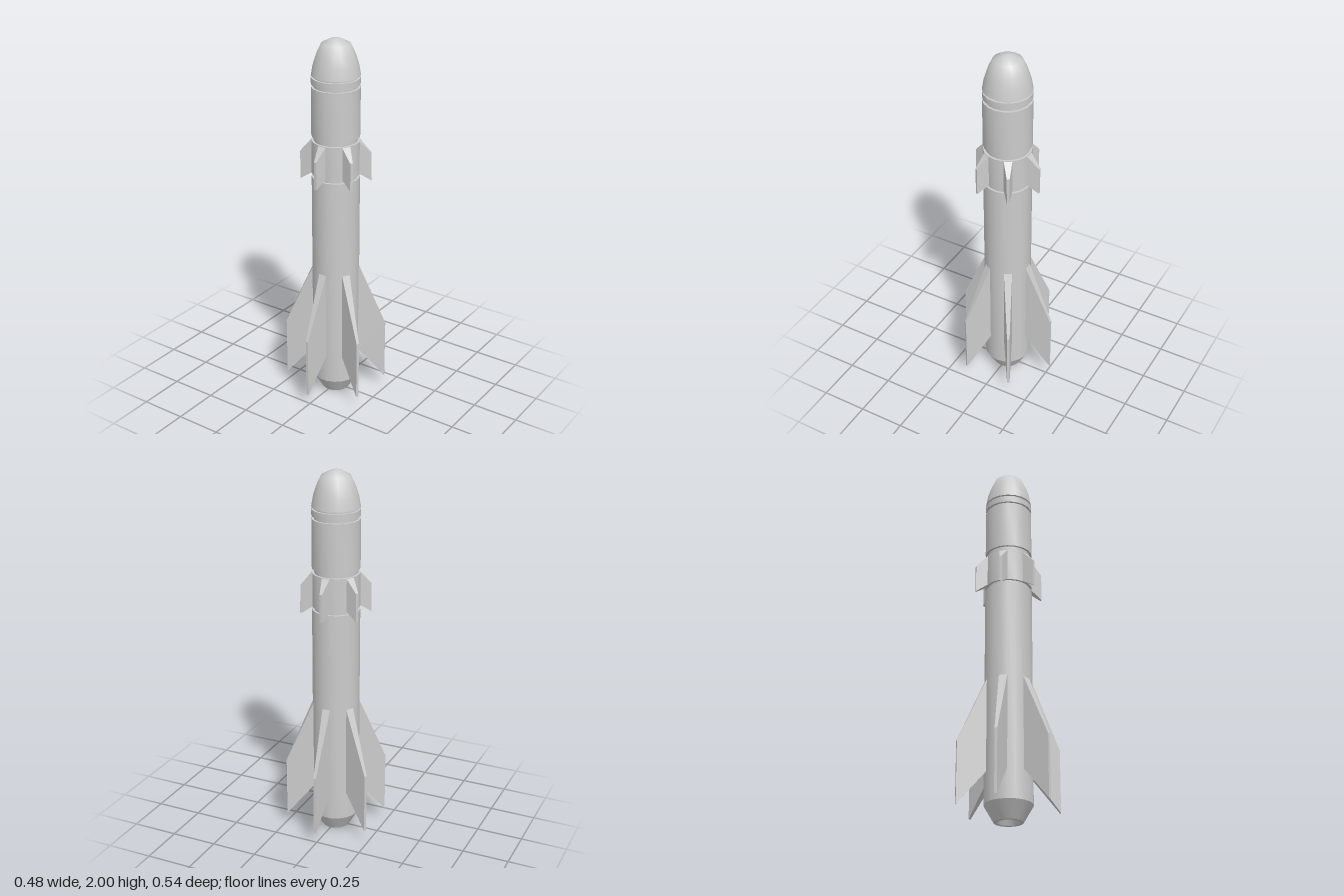
import * as THREE from 'three';
import { toCreasedNormals } from 'three/addons/utils/BufferGeometryUtils.js';

const SIDES = 18;
const R = 0.126; // hull radius
const GROOVE = 0.114; // radius at the bottom of the grooves
const FLAT = R * Math.cos(Math.PI / SIDES); // distance to the middle of a hull facet
const grey = new THREE.MeshStandardMaterial({ color: 0xcccccc });

// Turned part from [radius, height] points, listed bottom to top
function turned(name, profile, crease = 0.45) {
  const points = profile.map(([r, y]) => new THREE.Vector2(r, y));
  const lathe = new THREE.LatheGeometry(points, SIDES, Math.PI / 2);
  const mesh = new THREE.Mesh(crease ? toCreasedNormals(lathe, crease) : lathe, grey);
  mesh.name = name;
  return mesh;
}

// Straight hull section with flat end shelves reaching into the grooves
const section = (name, y0, y1) => turned(name, [[GROOVE, y0], [R, y0], [R, y1], [GROOVE, y1]]);

// Tapered fin: a box with its corners moved to the fin outline
function finGeometry({ rootTop, rootBottom, tipTop, tipBottom, tipRadius }) {
  const geo = new THREE.BoxGeometry(1, 1, 1);
  const p = geo.attributes.position;
  for (let i = 0; i < p.count; i++) {
    const tip = p.getX(i) > 0, top = p.getY(i) > 0;
    const y = tip ? (top ? tipTop : tipBottom) : (top ? rootTop : rootBottom);
    const halfWidth = tip ? 0.007 : R * Math.sin(Math.PI / SIDES);
    p.setXYZ(i, tip ? tipRadius : FLAT, y, Math.sign(p.getZ(i)) * halfWidth);
  }
  geo.computeVertexNormals();
  return geo;
}

// Six fins around the hull, each on its own facet
function finRing(name, outline) {
  const ring = new THREE.Group();
  ring.name = name + 's';
  const geo = finGeometry(outline);
  for (let i = 0; i < 6; i++) {
    const fin = new THREE.Mesh(geo, grey);
    fin.name = name;
    fin.rotation.y = Math.PI / 6 + (i * Math.PI) / 3;
    ring.add(fin);
  }
  return ring;
}

export function createModel() {
  const model = new THREE.Group();
  model.name = 'rocket';

  // Hull, with a recessed exhaust in the tapered tail
  model.add(turned('lowerBody', [
    [0, 0.03], [0.045, 0.03], [0.058, 0], [0.075, 0],
    [R, 0.088], [R, 1.27], [GROOVE, 1.27],
  ]));
  model.add(section('finCollar', 1.288, 1.468));
  model.add(section('upperBody', 1.493, 1.753));
  model.add(section('noseBand', 1.768, 1.802));

  // Groove floors between the hull sections
  for (const [y0, y1] of [[1.27, 1.288], [1.468, 1.493], [1.753, 1.768], [1.802, 1.812]]) {
    model.add(turned('groove', [[GROOVE, y0], [GROOVE, y1]]));
  }

  // Rounded nose and its underside
  model.add(turned('noseCone', [
    [R, 1.812], [0.116, 1.868], [0.1, 1.918], [0.075, 1.972], [0.028, 1.996], [0, 2],
  ], 0));
  model.add(turned('noseBase', [[GROOVE, 1.812], [R, 1.812]]));

  // Fins
  model.add(finRing('tailFin', {
    rootTop: 0.74, rootBottom: 0.245, tipTop: 0.4, tipBottom: 0.07, tipRadius: 0.272,
  }));
  model.add(finRing('forwardFin', {
    rootTop: 1.465, rootBottom: 1.29, tipTop: 1.4, tipBottom: 1.25, tipRadius: 0.184,
  }));
  return model;
}
